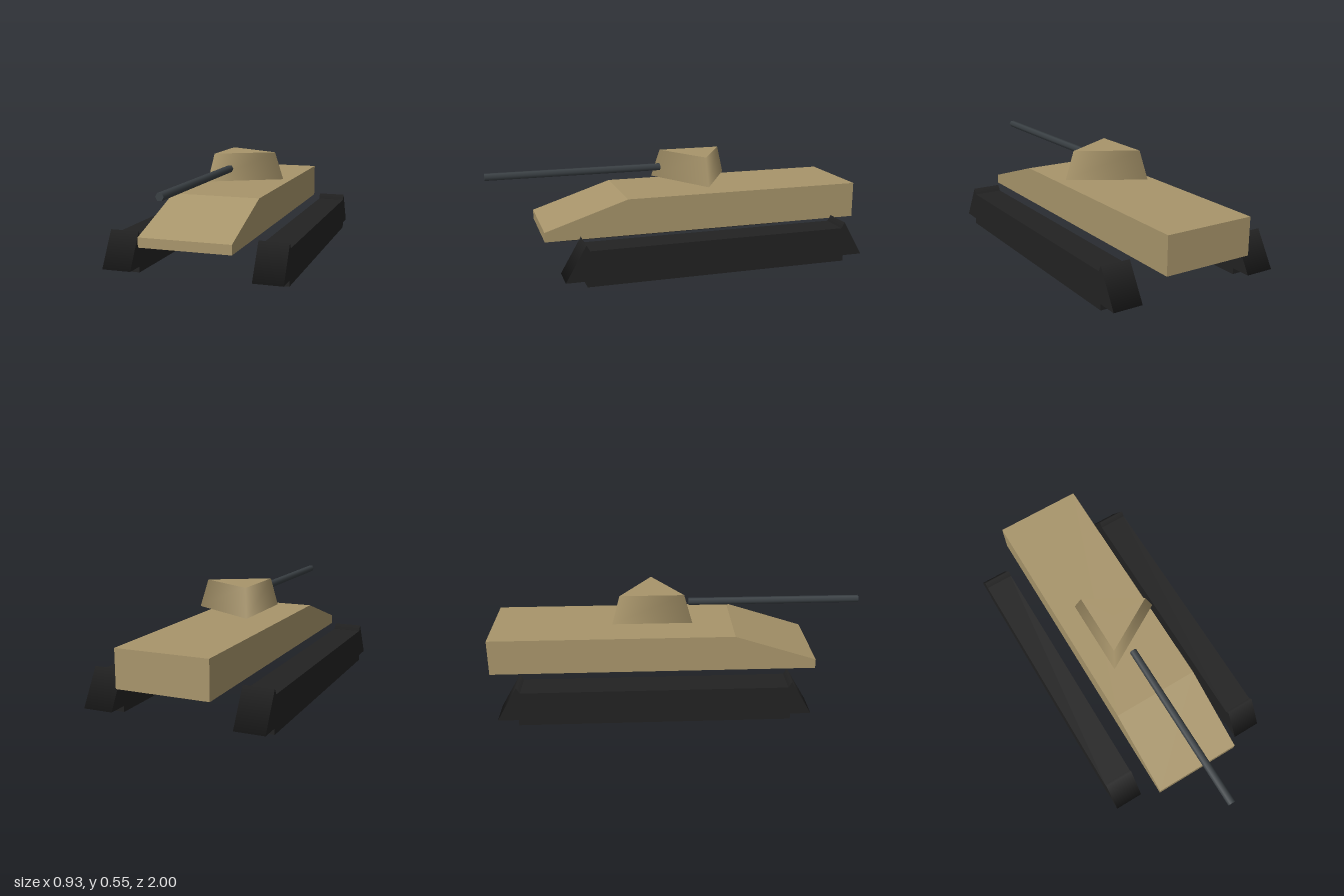
import * as THREE from 'three';

export function createModel() {
  const model = new THREE.Group();
  const sand = new THREE.MeshStandardMaterial({ name: 'sand', color: 0xa8956b });
  const rubber = new THREE.MeshStandardMaterial({ name: 'trackBlack', color: 0x222222 });
  const steel = new THREE.MeshStandardMaterial({ name: 'gunSteel', color: 0x3a4044 });

  const add = (parent, name, geometry, material, x, y, z) => {
    const mesh = new THREE.Mesh(geometry, material);
    mesh.name = name;
    mesh.position.set(x, y, z);
    parent.add(mesh);
    return mesh;
  };

  // Hull: side profile (z, y) with a sloped nose, extruded across the width
  const hullWidth = 0.474;
  const profile = new THREE.Shape(
    [[-1, 0.175], [0.735, 0.175], [0.735, 0.225], [0.3, 0.367], [-1, 0.367]]
      .map(([z, y]) => new THREE.Vector2(z, y)));
  const hull = new THREE.ExtrudeGeometry(profile, { depth: hullWidth, bevelEnabled: false });
  hull.rotateY(-Math.PI / 2);
  add(model, 'hull', hull, sand, hullWidth / 2, 0, 0);

  // Turret: three-sided frustum with smooth sides, one corner towards +x
  const turret = new THREE.CylinderGeometry(0.198, 0.247, 0.15, 3);
  turret.rotateY(Math.PI / 2);
  add(model, 'turret', turret, sand, 0, 0.478, -0.135);

  // Gun barrel: six-sided rod pointing forward
  const barrel = new THREE.CylinderGeometry(0.02, 0.02, 0.935, 6);
  barrel.rotateY(Math.PI / 2).rotateX(Math.PI / 2);
  add(model, 'gunBarrel', barrel, steel, 0, 0.478, 0.5325);

  // Tracks: a long block with a three-sided roller at each end
  const trackWidth = 0.154, midZ = -0.13, halfLength = 0.695, axleY = 0.0915;
  const block = new THREE.BoxGeometry(trackWidth, axleY * 2, halfLength * 2);
  const roller = new THREE.CylinderGeometry(0.122, 0.122, trackWidth, 3, 1, false, Math.PI / 2);
  roller.rotateZ(Math.PI / 2);
  for (const [side, name] of [[1, 'leftTrack'], [-1, 'rightTrack']]) {
    const track = new THREE.Group();
    track.name = name;
    track.position.set(side * 0.39, axleY, midZ);
    add(track, 'trackBlock', block, rubber, 0, 0, 0);
    add(track, 'frontRoller', roller, rubber, 0, 0, halfLength);
    add(track, 'rearRoller', roller, rubber, 0, 0, -halfLength);
    model.add(track);
  }

  return model;
}
